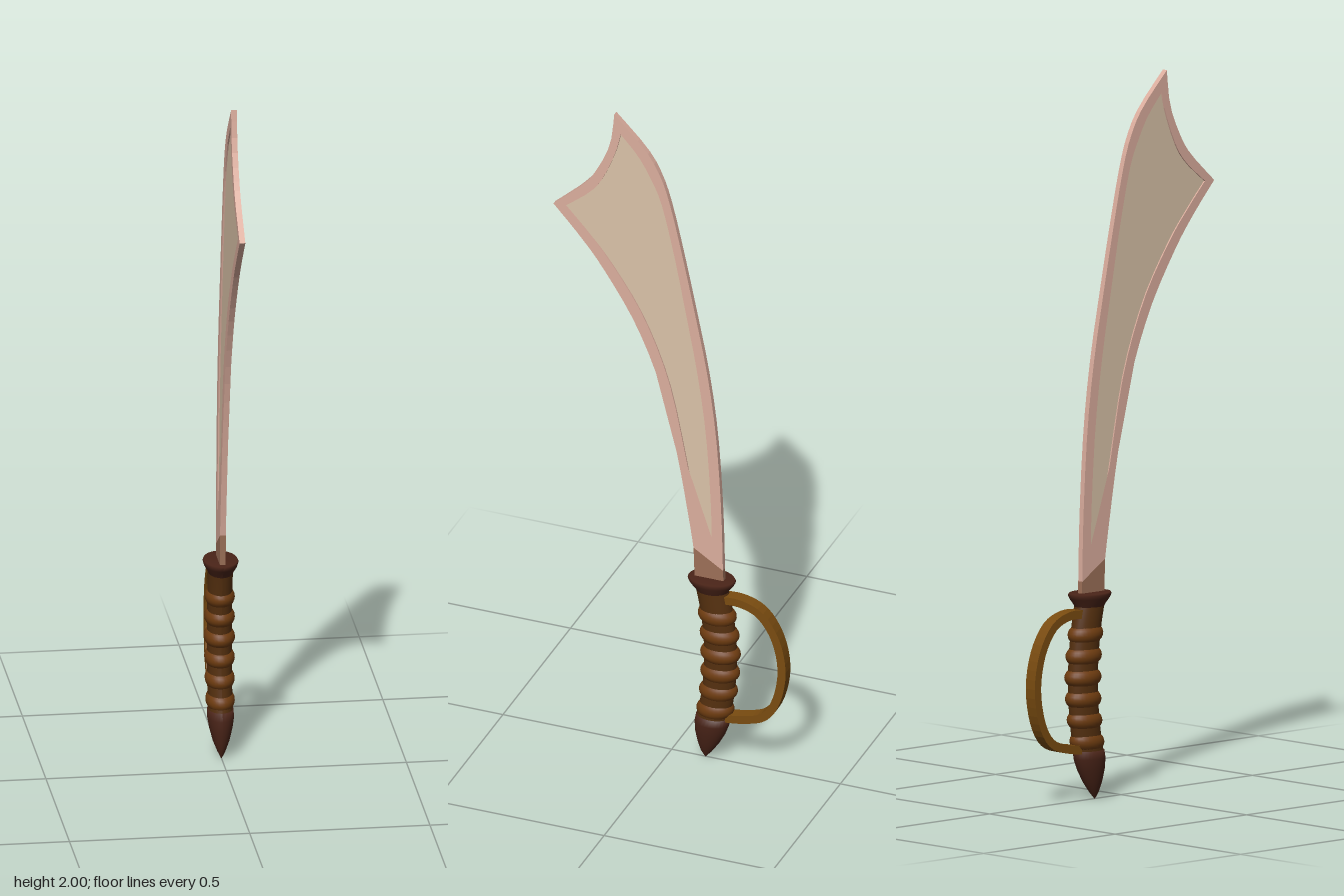
import * as THREE from 'three';

const mat = (color) => new THREE.MeshStandardMaterial({ color, side: THREE.DoubleSide });
const RIM = mat(0xdcae9e), PANEL = mat(0xdac3a8), RICASSO = mat(0x9c7058);
const DARK = mat(0x4a2418), CORE = mat(0x55300f), WRAP = mat(0x6e3c10), BOW = mat(0x7a4c10);

// Smooth curve through [z, y] points
const smooth = (pts, n) =>
  new THREE.SplineCurve(pts.map(([z, y]) => new THREE.Vector2(z, y))).getPoints(n);

// Flat plate drawn in the z-y plane, centred on x = 0
function plate(name, outline, thickness, material, hole) {
  const shape = new THREE.Shape(outline);
  if (hole) shape.holes.push(new THREE.Path(hole));
  const geo = new THREE.ExtrudeGeometry(shape, { depth: thickness, bevelEnabled: false });
  geo.translate(0, 0, -thickness / 2);
  geo.rotateY(-Math.PI / 2);
  const mesh = new THREE.Mesh(geo, material);
  mesh.name = name;
  return mesh;
}

// Elliptical loft through sections [y, z centre, x radius, z radius], bottom to top
function loft(name, sections, material, sides = 28) {
  const pos = [], idx = [];
  for (const [y, zc, rx, rz] of sections)
    for (let i = 0; i <= sides; i++) {
      const a = (i / sides) * Math.PI * 2;
      pos.push(Math.sin(a) * rx, y, zc + Math.cos(a) * rz);
    }
  const w = sides + 1;
  for (let j = 0; j < sections.length - 1; j++)
    for (let i = 0; i < sides; i++) {
      const a = j * w + i, b = a + 1, c = a + w, d = c + 1;
      idx.push(a, b, d, a, d, c);
    }
  const geo = new THREE.BufferGeometry();
  geo.setAttribute('position', new THREE.Float32BufferAttribute(pos, 3));
  geo.setIndex(idx);
  geo.computeVertexNormals();
  const mesh = new THREE.Mesh(geo, material);
  mesh.name = name;
  return mesh;
}

// Closed blade outline from spine, concave clip and cutting edge
const bladeOutline = (spine, clip, edge) =>
  [...smooth(spine, 24), ...smooth(clip, 10).slice(1), ...smooth(edge, 24).slice(1)];

export function createModel() {
  const sword = new THREE.Group();
  sword.name = 'sword';

  // Blade: raised rim around a recessed panel
  const outer = bladeOutline(
    [[-0.155, 0.61], [-0.15, 0.8], [-0.135, 1.03], [-0.11, 1.22], [-0.075, 1.4], [-0.035, 1.59],
      [0, 1.74], [0.03, 1.83], [0.075, 1.905], [0.167, 2]],
    [[0.167, 2], [0.18, 1.9], [0.22, 1.81], [0.26, 1.755], [0.347, 1.675]],
    [[0.347, 1.675], [0.27, 1.59], [0.2, 1.5], [0.105, 1.345], [0.03, 1.16], [-0.02, 0.95],
      [-0.055, 0.75], [-0.068, 0.665]]);
  const inner = bladeOutline(
    [[-0.122, 0.64], [-0.12, 0.8], [-0.105, 1.03], [-0.08, 1.22], [-0.047, 1.4], [-0.01, 1.59],
      [0.026, 1.74], [0.055, 1.81], [0.095, 1.88], [0.148, 1.94]],
    [[0.148, 1.94], [0.163, 1.88], [0.2, 1.79], [0.24, 1.735], [0.312, 1.676]],
    [[0.312, 1.676], [0.25, 1.61], [0.175, 1.52], [0.08, 1.37], [0.005, 1.18], [-0.045, 0.95],
      [-0.082, 0.75], [-0.096, 0.655]]);
  sword.add(plate('bladeRim', outer, 0.016, RIM, inner));
  sword.add(plate('bladePanel', inner, 0.008, PANEL));

  // Plain blade root with a slanted top
  const root = [[-0.158, 0.55], [-0.155, 0.61], [-0.068, 0.665], [-0.072, 0.55]];
  sword.add(plate('bladeRoot', root.map(([z, y]) => new THREE.Vector2(z, y)), 0.016, RICASSO));

  // Flared collar
  sword.add(loft('collar', [
    [0.53, -0.121, 0.03, 0.043], [0.545, -0.12, 0.037, 0.05], [0.562, -0.119, 0.046, 0.064],
    [0.572, -0.119, 0.049, 0.069], [0.577, -0.119, 0.047, 0.066], [0.577, -0.119, 0.001, 0.001],
  ], DARK));

  // Curved grip core with bulging wraps
  const centreZ = (y) => -0.145 + 0.55 * (y - 0.33) ** 2;
  const core = [];
  for (let i = 0; i <= 10; i++) {
    const y = 0.11 + i * 0.043;
    core.push([y, centreZ(y), 0.034, 0.047]);
  }
  sword.add(loft('gripCore', core, CORE));
  for (let i = 0; i < 6; i++) {
    const y = 0.163 + i * 0.06;
    const k = 1 - 0.02 * Math.abs(i - 3);
    const wrap = new THREE.Mesh(new THREE.SphereGeometry(1, 28, 14), WRAP);
    wrap.name = 'gripWrap' + (i + 1);
    wrap.scale.set(0.043 * k, 0.034, 0.058 * k);
    wrap.position.set(0, y, centreZ(y));
    wrap.rotation.x = 0.1 - i * 0.035;
    sword.add(wrap);
  }

  // Pointed pommel
  sword.add(loft('pommel', [
    [0, -0.1, 0.001, 0.001], [0.02, -0.103, 0.011, 0.016], [0.05, -0.109, 0.023, 0.031],
    [0.085, -0.115, 0.032, 0.044], [0.115, -0.12, 0.037, 0.05], [0.138, -0.123, 0.036, 0.049],
    [0.14, -0.123, 0.001, 0.001],
  ], DARK));

  // Knuckle bow: a flat strap of even thickness along a curve
  const bow = new THREE.SplineCurve([[-0.15, 0.52], [-0.21, 0.521], [-0.27, 0.495], [-0.315, 0.425],
    [-0.333, 0.33], [-0.317, 0.235], [-0.28, 0.175], [-0.22, 0.152], [-0.15, 0.142],
  ].map(([z, y]) => new THREE.Vector2(z, y)));
  const outside = [], inside = [];
  for (let i = 0; i <= 32; i++) {
    const p = bow.getPoint(i / 32), t = bow.getTangent(i / 32);
    const n = new THREE.Vector2(t.y, -t.x).multiplyScalar(0.012);
    outside.push(p.clone().add(n));
    inside.unshift(p.clone().sub(n));
  }
  sword.add(plate('knuckleBow', [...outside, ...inside], 0.036, BOW));

  return sword;
}
